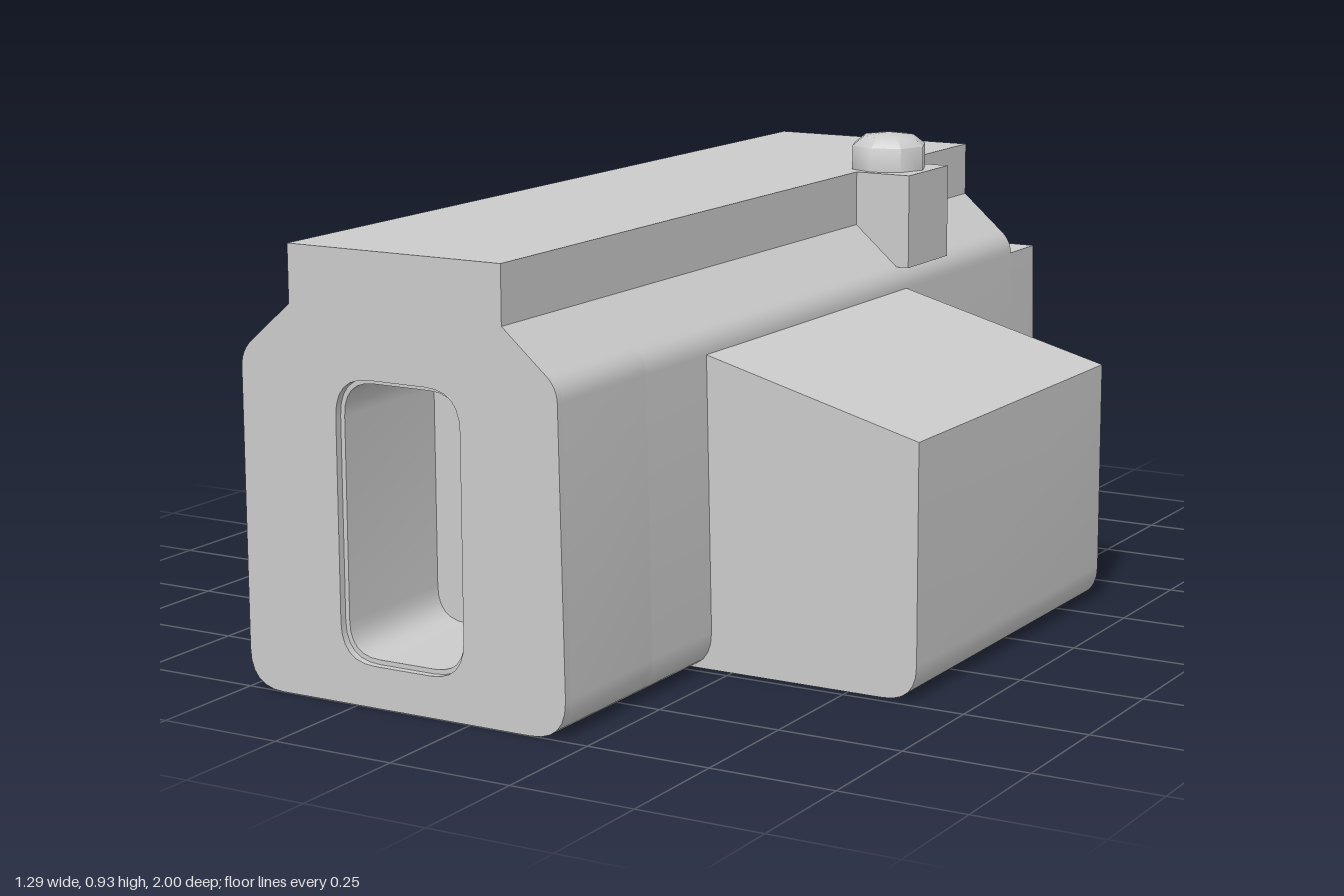
import * as THREE from 'three';
import { toCreasedNormals } from 'three/addons/utils/BufferGeometryUtils.js';

const material = new THREE.MeshStandardMaterial({ color: 0xcccccc });

function addMesh(group, name, geometry) {
  const mesh = new THREE.Mesh(geometry, material);
  mesh.name = name;
  group.add(mesh);
  return mesh;
}

// Extrudes a front-view shape between two z positions
function slab(shape, zBack, zFront) {
  const geometry = new THREE.ExtrudeGeometry(shape, { depth: zFront - zBack, bevelEnabled: false, curveSegments: 6 });
  geometry.translate(0, 0, zBack);
  return toCreasedNormals(geometry, 0.6);
}

// Starts a cross-section with its two lower corners rounded
function roundedBase(left, right, r) {
  const s = new THREE.Shape();
  s.moveTo(left, r);
  s.quadraticCurveTo(left, 0, left + r, 0);
  s.lineTo(right - r, 0);
  s.quadraticCurveTo(right, 0, right, r);
  return s;
}

function bodyShape() {
  const s = roundedBase(-0.497, 0.205, 0.075);
  s.lineTo(0.195, 0.615);
  s.quadraticCurveTo(0.195, 0.645, 0.17, 0.665);
  s.lineTo(0.08, 0.743);
  s.lineTo(0.08, 0.855);
  s.lineTo(-0.385, 0.855);
  s.lineTo(-0.385, 0.743);
  s.lineTo(-0.475, 0.665);
  s.quadraticCurveTo(-0.497, 0.645, -0.497, 0.615);
  s.closePath();
  return s;
}

function windowHole(inset) {
  const x0 = -0.285 + inset, x1 = -0.012 - inset;
  const y0 = 0.08 + inset, y1 = 0.617 - inset, r = 0.075 - inset;
  const h = new THREE.Path();
  h.moveTo(x0 + r, y0);
  h.lineTo(x1 - r, y0);
  h.quadraticCurveTo(x1, y0, x1, y0 + r);
  h.lineTo(x1, y1 - r);
  h.quadraticCurveTo(x1, y1, x1 - r, y1);
  h.lineTo(x0 + r, y1);
  h.quadraticCurveTo(x0, y1, x0, y1 - r);
  h.lineTo(x0, y0 + r);
  h.quadraticCurveTo(x0, y0, x0 + r, y0);
  return h;
}

export function createModel() {
  const model = new THREE.Group();
  model.name = 'building';

  // Main hall, with a recessed opening stepped in behind a thin rim
  const hall = new THREE.Group();
  hall.name = 'mainHall';
  model.add(hall);
  const sections = [['frontRim', 0.985, 1, 0], ['recessedFront', 0.7, 0.985, 0.009], ['hallBody', -0.88, 0.7, null]];
  for (const [name, zBack, zFront, inset] of sections) {
    const shape = bodyShape();
    if (inset !== null) shape.holes.push(windowHole(inset));
    addMesh(hall, name, slab(shape, zBack, zFront));
  }

  // Lower ledge across the back
  const ledge = roundedBase(-0.497, 0.205, 0.075);
  ledge.lineTo(0.195, 0.617);
  ledge.lineTo(-0.497, 0.617);
  ledge.closePath();
  addMesh(model, 'rearLedge', slab(ledge, -1, -0.88));

  // Side wings: a sloping annex and a shallow flat one
  const annex = roundedBase(-0.4, 0.643, 0.07);
  annex.lineTo(0.643, 0.495);
  annex.lineTo(0.195, 0.615);
  annex.lineTo(-0.4, 0.615);
  annex.closePath();
  addMesh(model, 'leftAnnex', slab(annex, -0.36, 0.48));

  const wing = roundedBase(-0.645, 0.1, 0.07);
  wing.lineTo(0.1, 0.615);
  wing.lineTo(-0.645, 0.615);
  wing.closePath();
  addMesh(model, 'rightWing', slab(wing, -0.36, 0.48));

  // Chimney on the shoulder, with a low domed octagonal pot
  const base = addMesh(model, 'chimneyBase', new THREE.BoxGeometry(0.19, 0.195, 0.185));
  base.position.set(0.108, 0.7575, -0.443);
  const potProfile = [[0.081, 0.85], [0.081, 0.905], [0.055, 0.925], [0, 0.932]].map(([r, y]) => new THREE.Vector2(r, y));
  const pot = addMesh(model, 'chimneyPot', toCreasedNormals(new THREE.LatheGeometry(potProfile, 8), 0.9));
  pot.position.set(0.108, 0, -0.443);

  return model;
}
